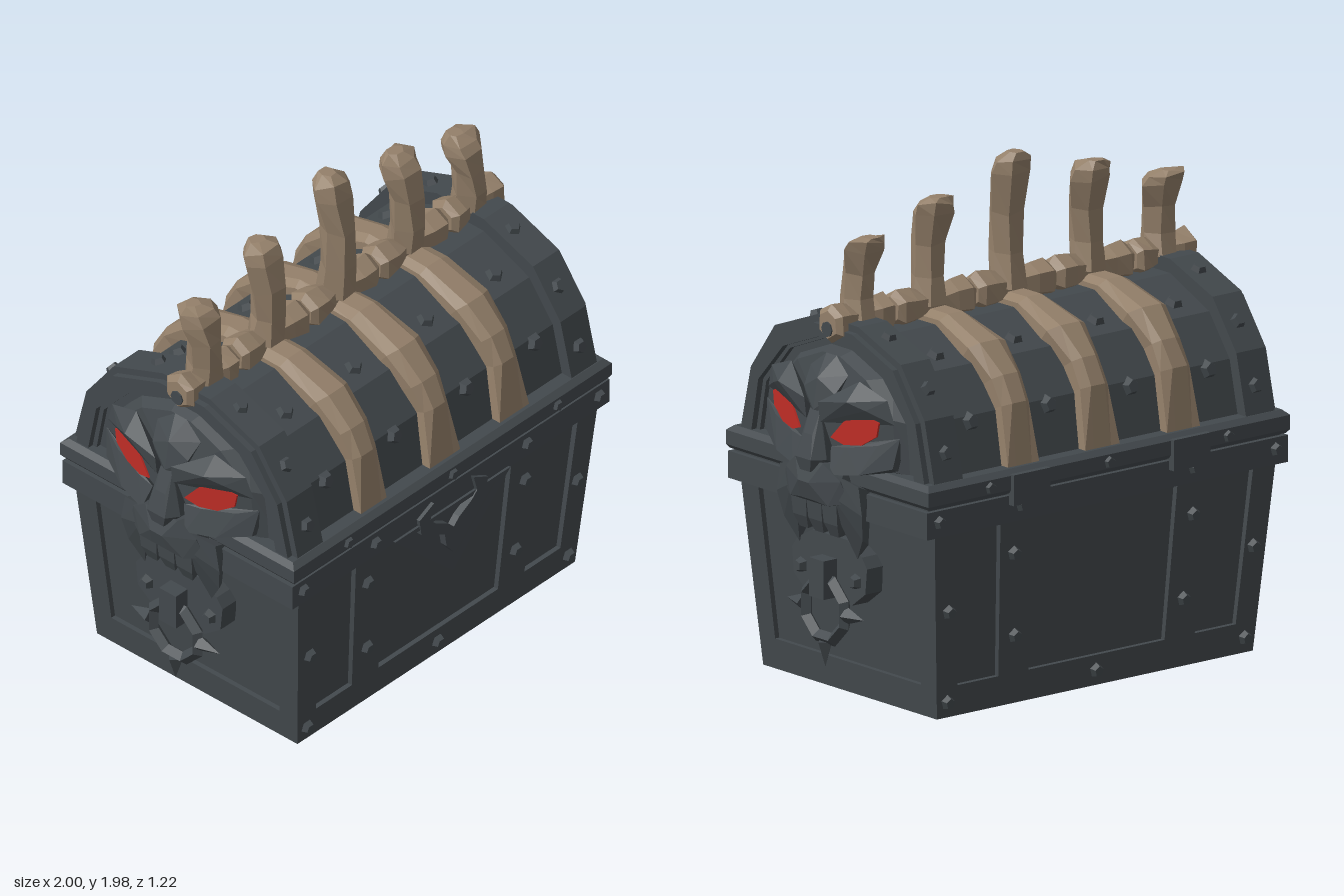
import * as THREE from 'three';
import { ConvexGeometry } from 'three/addons/geometries/ConvexGeometry.js';

const mat = (name, color) => {
  const m = new THREE.MeshStandardMaterial({ color, flatShading: true });
  m.name = name;
  return m;
};

export function createModel() {
  const iron = mat('iron', 0x43494d), bone = mat('bone', 0x94806a), red = mat('red', 0xbf2d26);
  const root = new THREE.Group();
  root.name = 'chest';
  let seed = 7;
  const jitter = (a) => { seed = (seed * 16807) % 2147483647; return (seed / 2147483647 - 0.5) * 2 * a; };

  const add = (name, geo, material = iron, parent = root) => {
    const m = new THREE.Mesh(geo, material);
    m.name = name;
    parent.add(m);
    return m;
  };
  const box = (w, h, d, x, y, z) => new THREE.BoxGeometry(w, h, d).translate(x, y, z);

  // The body widens towards the rim
  const tx = (y) => 1 + 0.107 * y, tz = (y) => 1 + 0.16 * y;
  const taper = (g) => {
    const p = g.attributes.position;
    for (let i = 0; i < p.count; i++) {
      const y = p.getY(i);
      p.setXYZ(i, p.getX(i) * tx(y), y, p.getZ(i) * tz(y));
    }
    g.computeVertexNormals();
    return g;
  };

  // Solid through a row of equal-sized rings, capped at both ends
  const loft = (rings) => {
    const n = rings[0].length, pos = [];
    const tri = (a, b, c) => pos.push(...a, ...b, ...c);
    for (let r = 0; r + 1 < rings.length; r++) for (let i = 0; i < n; i++) {
      const j = (i + 1) % n, A = rings[r], B = rings[r + 1];
      tri(A[i], A[j], B[j]);
      tri(A[i], B[j], B[i]);
    }
    const last = rings[rings.length - 1];
    for (let i = 1; i + 1 < n; i++) {
      tri(rings[0][0], rings[0][i + 1], rings[0][i]);
      tri(last[0], last[i], last[i + 1]);
    }
    // turn the faces outwards when the volume comes out negative
    let vol = 0;
    const at = (k) => new THREE.Vector3(pos[k], pos[k + 1], pos[k + 2]);
    for (let k = 0; k < pos.length; k += 9) vol += at(k).dot(at(k + 3).cross(at(k + 6)));
    if (vol < 0) for (let k = 0; k < pos.length; k += 9) for (let c = 0; c < 3; c++)
      [pos[k + 3 + c], pos[k + 6 + c]] = [pos[k + 6 + c], pos[k + 3 + c]];
    const g = new THREE.BufferGeometry();
    g.setAttribute('position', new THREE.Float32BufferAttribute(pos, 3));
    g.computeVertexNormals();
    return g;
  };

  const stud = (x, y, z, nx, ny, nz, r = 0.034, parent = root) => {
    const m = add('stud', new THREE.CylinderGeometry(r * 0.6, r, 0.035, 5), iron, parent);
    m.position.set(x, y, z);
    m.quaternion.setFromUnitVectors(new THREE.Vector3(0, 1, 0), new THREE.Vector3(nx, ny, nz).normalize());
  };
  const shape = (pts) => new THREE.Shape(pts.map(([a, b]) => new THREE.Vector2(a, b)));
  const extrude = (s, depth, z = 0) => new THREE.ExtrudeGeometry(s, { depth, bevelEnabled: false }).translate(0, 0, z);
  const mirrored = (half) => [...half, ...half.slice().reverse().filter(([a]) => a !== 0).map(([a, ...b]) => [-a, ...b])];

  // Body panels and frame
  add('body', taper(box(1.5, 0.76, 0.98, 0, 0.38, 0)));
  add('baseTrim', taper(box(1.54, 0.12, 1.02, 0, 0.06, 0)));
  for (const sx of [-1, 1]) for (const sz of [-1, 1]) {
    add('cornerPost', taper(box(0.1, 0.62, 0.09, sx * 0.72, 0.43, sz * 0.465)));
    add('post', taper(box(0.145, 0.62, 0.03, sx * 0.4, 0.43, sz * 0.495)));
    for (const [x, y] of [[0.4, 0.27], [0.41, 0.6], [0.71, 0.42], [0.72, 0.06]])
      stud(sx * x * tx(y), y, sz * 0.515 * tz(y), 0, -0.1, sz);
    stud(sx * 0.58, 0.885, sz * 0.592, 0, 0, sz, 0.032);
    for (const x of [0.42, 0.82]) stud(sx * x, 0.79, sz * 0.59, 0, 0, sz, 0.032);
  }
  for (const sz of [-1, 1]) {
    stud(0, 0.06, sz * 0.52, 0, -0.1, sz);
    stud(0, 0.885, sz * 0.592, 0, 0, sz, 0.032);
  }

  // Rim bands and back hinges
  add('lowerRim', box(1.76, 0.105, 1.17, 0, 0.783, 0));
  add('rimGap', box(1.72, 0.04, 1.13, 0, 0.84, 0));
  const square = (y, x, z) => [[x, y, z], [x, y, -z], [-x, y, -z], [-x, y, z]];
  add('upperRim', loft([square(0.845, 0.87, 0.585), square(0.86, 0.882, 0.595),
    square(0.915, 0.882, 0.595), square(0.935, 0.86, 0.57)]));
  for (const sx of [-1, 1]) add('hinge', box(0.18, 0.12, 0.04, sx * 0.39, 0.86, -0.592));

  // Arched lid with end bands
  const lidHalf = [[0.52, 0.92], [0.47, 1.14], [0.35, 1.3], [0.12, 1.4]];
  const bandHalf = [[0.57, 0.92], [0.51, 1.17], [0.37, 1.36], [0.12, 1.455]];
  const innerHalf = [[0.46, 0.92], [0.42, 1.13], [0.28, 1.29], [0.08, 1.37]];
  add('lid', extrude(shape(mirrored(lidHalf)), 1.62, -0.81).rotateY(Math.PI / 2));
  for (const sx of [-1, 1]) {
    const arch = shape(mirrored(bandHalf));
    arch.holes.push(shape(mirrored(innerHalf)));
    add('lidBand', extrude(arch, 0.14, -0.07).rotateY(Math.PI / 2).translate(sx * 0.76, 0, 0));
    const frame = shape(mirrored(bandHalf.map(([a, b]) => [a * 0.95, 0.92 + (b - 0.92) * 0.95])));
    frame.holes.push(shape(mirrored(innerHalf.map(([a, b]) => [a * 1.04, b + 0.01]))));
    add('endArch', extrude(frame, 0.03, -0.015).rotateY(Math.PI / 2).translate(sx * 0.84, 0, 0));
    for (const sz of [-1, 1]) {
      for (const [y, z, ny, nz] of [[1.04, 0.545, 0.23, 1], [1.27, 0.44, 0.6, 0.8], [1.425, 0.21, 0.93, 0.36]])
        stud(sx * 0.755, y, sz * z, 0, ny, sz * nz, 0.038);
      for (const x of [0.2, 0.58]) {
        stud(sx * x, 1.12, sz * 0.482, 0, 0.23, sz, 0.042);
        stud(sx * x, 1.34, sz * 0.275, 0, 0.92, sz * 0.4, 0.042);
      }
    }
  }

  // Front clasp with a horned ornament
  const triangle = (w, top, tip) => [[w, top], [0, tip], [-w, top]];
  const clasp = shape(triangle(0.32, 0.74, 0.43));
  clasp.holes.push(shape(triangle(0.24, 0.72, 0.49)));
  add('claspFrame', extrude(clasp, 0.08, 0.515));
  add('claspPlate', extrude(shape(triangle(0.3, 0.735, 0.44)), 0.06, 0.51));
  const horns = [[0, 0.52], [0.04, 0.57], [0.05, 0.63], [0.18, 0.7], [0.19, 0.77], [0.11, 0.81],
    [0.13, 0.74], [0.1, 0.71], [0.03, 0.67], [0, 0.64]];
  add('claspOrnament', extrude(shape(mirrored(horns)), 0.05, 0.55));

  // Ribs over the lid
  const ribHalf = [[0.555, 0.935, 0.078, 0.94], [0.525, 1.17, 0.068, 0.9], [0.47, 1.27, 0.07, 0.9],
    [0.36, 1.375, 0.088, 0.88], [0.15, 1.44, 0.072, 0.9]];
  for (const x of [-0.395, 0, 0.385]) {
    const rings = mirrored(ribHalf).map(([z, y, w, k]) => {
      const a = w + jitter(0.007), b = y - 0.93, o = jitter(0.008);
      const iz = z * 0.84, iy = 0.93 + b * 0.86;
      const mz = z * (k + 0.06), my = 0.93 + b * 0.96;
      return [[x - a, iy, iz], [x - a, my, mz], [x - a * 0.5 + o, y, z], [x + a * 0.5 + o, y, z], [x + a, my, mz], [x + a, iy, iz]];
    });
    add('rib', loft(rings), bone);
  }

  // Backbone: flared vertebrae along x, each with an upright spine
  const ring6 = (fn) => Array.from({ length: 6 }, (_, i) => fn(Math.cos(i * Math.PI / 3), Math.sin(i * Math.PI / 3)));
  for (const [a, b] of [[-0.88, -0.59], [-0.575, -0.2], [-0.195, 0.185], [0.195, 0.575], [0.59, 0.88]]) {
    const prof = [[0, 0.055], [0.07, 0.078], [0.24, 0.07], [0.38, 0.055], [0.62, 0.055], [0.76, 0.07], [0.93, 0.078], [1, 0.055]];
    add('vertebra', loft(prof.map(([t, r]) => ring6((c, s) =>
      [a + (b - a) * t, 1.45 + c * (r + jitter(0.005)), s * (r + jitter(0.005))]))), bone);
  }
  for (const sx of [-1, 1])
    add('marrow', new THREE.CylinderGeometry(0.03, 0.03, 0.008, 8).rotateZ(Math.PI / 2).translate(sx * 0.882, 1.43, 0));
  for (const [x, top, lean] of [[-0.735, 1.78, -0.01], [-0.395, 1.88, 0.01], [0, 1.98, 0], [0.385, 1.87, -0.01], [0.73, 1.77, -0.02]]) {
    const h = top - 1.45;
    const prof = [[0, 0.075, 0.075, 0], [0.25, 0.062, 0.07, 0.01], [0.55, 0.068, 0.066, 0.01],
      [0.84, 0.094, 0.072, -0.015], [0.95, 0.085, 0.06, -0.03], [1, 0.035, 0.03, -0.045]];
    add('spine', loft(prof.map(([t, rx, rz, dz]) => ring6((c, s) => [x + lean * t + c * (rx + jitter(0.008)),
      1.45 + h * t + (t > 0.5 && t < 1 ? jitter(0.012) : 0), dz + s * (rz + jitter(0.008))]))), bone);
  }

  // Skull face and ring knocker; points are [z, y, x]
  const face = new THREE.Group();
  face.name = 'rightEnd';
  const hull = (name, pts) => add(name, new ConvexGeometry(pts.map(([z, y, x]) => new THREE.Vector3(x, y, z))), iron, face);
  const whole = (name, half) => hull(name, [...half, ...half.map(([z, y, x]) => [-z, y, x])]);
  const pair = (name, pts) => { for (const s of [-1, 1]) hull(name, pts.map(([z, y, x]) => [s * z, y, x])); };
  whole('skull', [[0.44, 0.92, 0.78], [0.41, 1.12, 0.78], [0.27, 1.28, 0.78], [0.07, 1.36, 0.78],
    [0.36, 0.94, 0.84], [0.34, 1.14, 0.845], [0.2, 1.27, 0.86], [0.05, 1.33, 0.86], [0.08, 0.93, 0.895], [0.06, 1.15, 0.895]]);
  whole('forehead', [[0.03, 1.33, 0.86], [0.11, 1.27, 0.87], [0.09, 1.2, 0.92], [0, 1.25, 0.93], [0, 1.13, 0.95], [0.06, 1.12, 0.92]]);
  pair('brow', [[0.03, 1.1, 0.9], [0.04, 1.09, 0.95], [0.04, 1.17, 0.96], [0.14, 1.14, 0.94], [0.2, 1.2, 0.955], [0.27, 1.175, 0.92],
    [0.37, 1.13, 0.86], [0.34, 1.22, 0.87], [0.2, 1.27, 0.89], [0.2, 1.19, 0.85]]);
  pair('cheek', [[0.08, 1.0, 0.93], [0.16, 1.01, 0.92], [0.3, 1.04, 0.885], [0.39, 1.08, 0.85], [0.37, 0.96, 0.87],
    [0.24, 0.92, 0.93], [0.11, 0.9, 0.96], [0.1, 0.92, 0.85], [0.36, 0.94, 0.82]]);
  whole('nose', [[0.03, 1.13, 0.94], [0.05, 1.06, 0.94], [0.025, 1.04, 0.975], [0.08, 0.95, 0.95], [0.045, 0.95, 1.0], [0.03, 0.9, 0.99], [0.06, 0.92, 0.88]]);
  whole('upperJaw', [[0.08, 0.94, 0.97], [0.16, 0.88, 0.95], [0.19, 0.8, 0.93], [0.11, 0.78, 0.97], [0.03, 0.86, 1.0], [0.04, 0.79, 0.98], [0.17, 0.78, 0.86], [0.1, 0.93, 0.86]]);
  pair('moustache', [[0.14, 0.9, 0.95], [0.23, 0.87, 0.92], [0.25, 0.76, 0.92], [0.23, 0.66, 0.9], [0.17, 0.57, 0.875],
    [0.13, 0.7, 0.92], [0.12, 0.82, 0.96], [0.22, 0.84, 0.85], [0.18, 0.62, 0.83]]);
  for (const z of [-0.09, 0, 0.09]) hull('tooth', [[z - 0.045, 0.8, 0.95], [z + 0.045, 0.8, 0.95], [z - 0.04, 0.7, 0.94],
    [z + 0.04, 0.7, 0.94], [z - 0.025, 0.65, 0.92], [z + 0.025, 0.65, 0.92], [z - 0.04, 0.78, 0.82], [z + 0.04, 0.78, 0.82], [z, 0.65, 0.84]]);

  // Glowing eyes, turned slightly outwards
  const eye = [[0.31, 1.13], [0.24, 1.165], [0.15, 1.11], [0.09, 1.04], [0.15, 1.02], [0.23, 1.03], [0.3, 1.075]];
  for (const s of [-1, 1]) {
    const g = extrude(shape(eye.map(([z, y]) => [-s * z, y])), 0.008).rotateY(Math.PI / 2);
    const p = g.attributes.position;
    for (let i = 0; i < p.count; i++) p.setX(i, p.getX(i) + 0.955 - 0.24 * Math.abs(p.getZ(i)));
    g.computeVertexNormals();
    add('eye', g, red, face);
  }

  // Knocker plate, clasp, ring and spikes
  const plate = [[0.1, 0.63], [0.19, 0.58], [0.22, 0.54], [0.21, 0.44], [0.13, 0.38], [0.06, 0.4]];
  add('knockerPlate', extrude(shape(mirrored(plate)), 0.08).rotateY(Math.PI / 2).translate(0.79, 0, 0), iron, face);
  add('knockerClasp', box(0.1, 0.15, 0.085, 0.885, 0.47, 0), iron, face);
  for (const s of [-1, 1]) stud(0.88, 0.48, s * 0.16, 1, 0, 0, 0.035, face);
  const ring = add('knockerRing', new THREE.TorusGeometry(0.12, 0.027, 4, 8).rotateZ(Math.PI / 8).rotateY(Math.PI / 2), iron, face);
  ring.position.set(0.89, 0.345, 0);
  for (const a of [-Math.PI / 2, 0, Math.PI / 2]) {
    const spike = add('ringSpike', new THREE.ConeGeometry(0.035, 0.1, 4).translate(0, 0.175, 0), iron, face);
    spike.position.copy(ring.position);
    spike.rotation.x = Math.PI + a;
  }
  const other = face.clone();
  other.name = 'leftEnd';
  other.rotation.y = Math.PI;
  face.name = 'leftEnd';
  other.name = 'rightEnd';
  root.add(face, other);
  return root;
}
